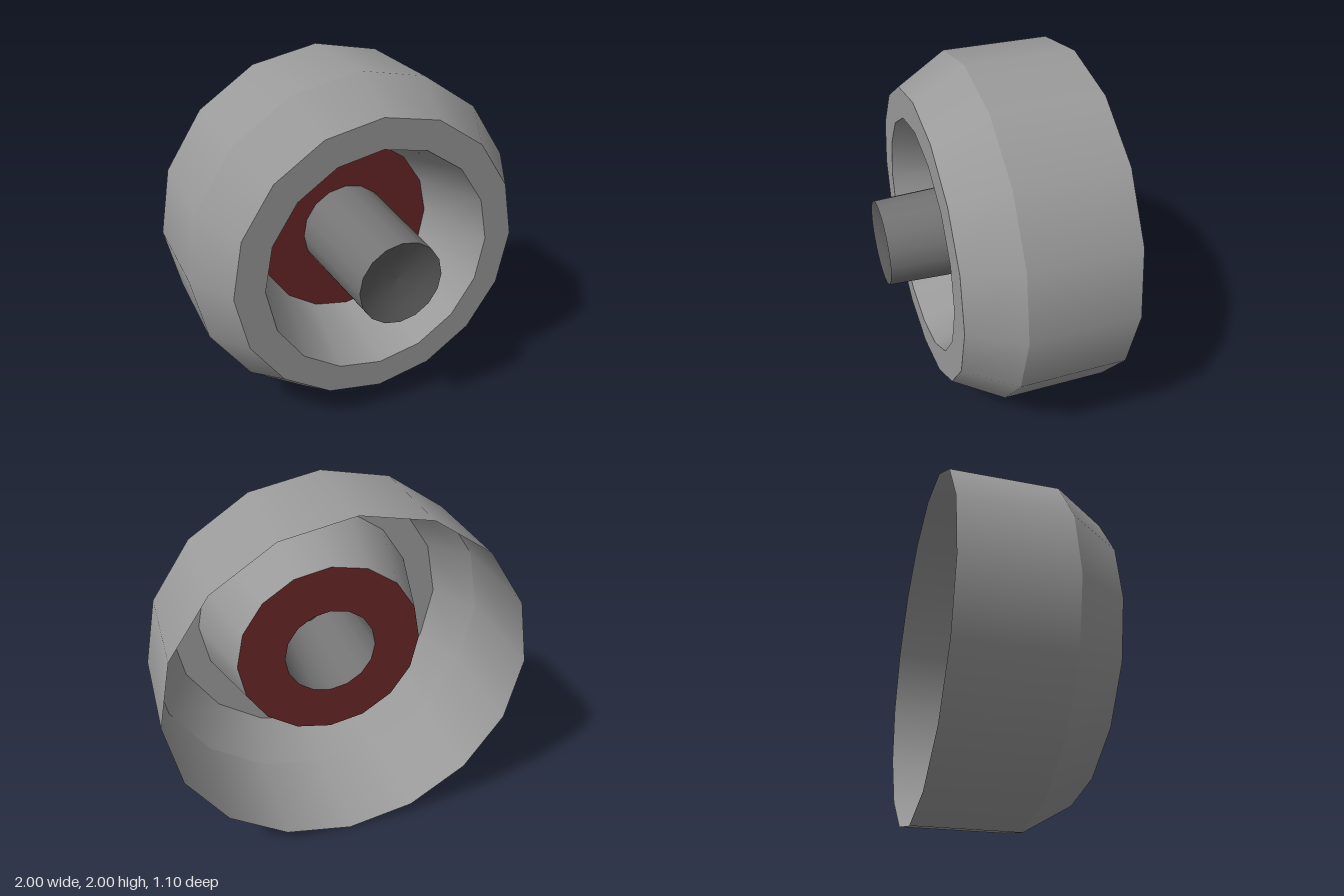
import * as THREE from 'three';

const SIDES = 16;
const paint = (color) => new THREE.MeshStandardMaterial({ color, side: THREE.DoubleSide });
const grey = paint(0x9a9a9a);
const darkGrey = paint(0x747474);
const capGrey = paint(0x5c5c5c);
const red = paint(0x6a2727);

// A thin surface turned around the z axis through [radius, z] points
function band(name, profile, material = grey) {
  const points = profile.map(([r, z]) => new THREE.Vector2(r, z));
  const geometry = new THREE.LatheGeometry(points, SIDES).rotateX(Math.PI / 2);
  const mesh = new THREE.Mesh(geometry, material);
  mesh.name = name;
  return mesh;
}

export function createModel() {
  const wheel = new THREE.Group();
  wheel.name = 'wheel';

  // Corners of the shell, from the open back to the hub end
  const backRim = [1, -0.55];
  const shoulder = [1, 0.05];
  const faceOuter = [0.84, 0.325];
  const faceInner = [0.67, 0.325];
  const discOuter = [0.537, -0.15];
  const discInner = [0.266, -0.15];
  const hubFront = [0.242, 0.55];

  wheel.add(
    band('tread', [backRim, shoulder]),
    band('chamfer', [shoulder, faceOuter]),
    band('frontRim', [faceOuter, faceInner]),
    band('recessWall', [faceInner, discOuter]),
    band('redDisc', [discOuter, discInner], red),
    band('hub', [discInner, hubFront], darkGrey),
    // Slightly dished end of the hub
    band('hubCap', [hubFront, [0.16, 0.522], [0.08, 0.506], [0, 0.5]], capGrey),
  );

  wheel.position.y = 1;
  const model = new THREE.Group();
  model.add(wheel);
  return model;
}
